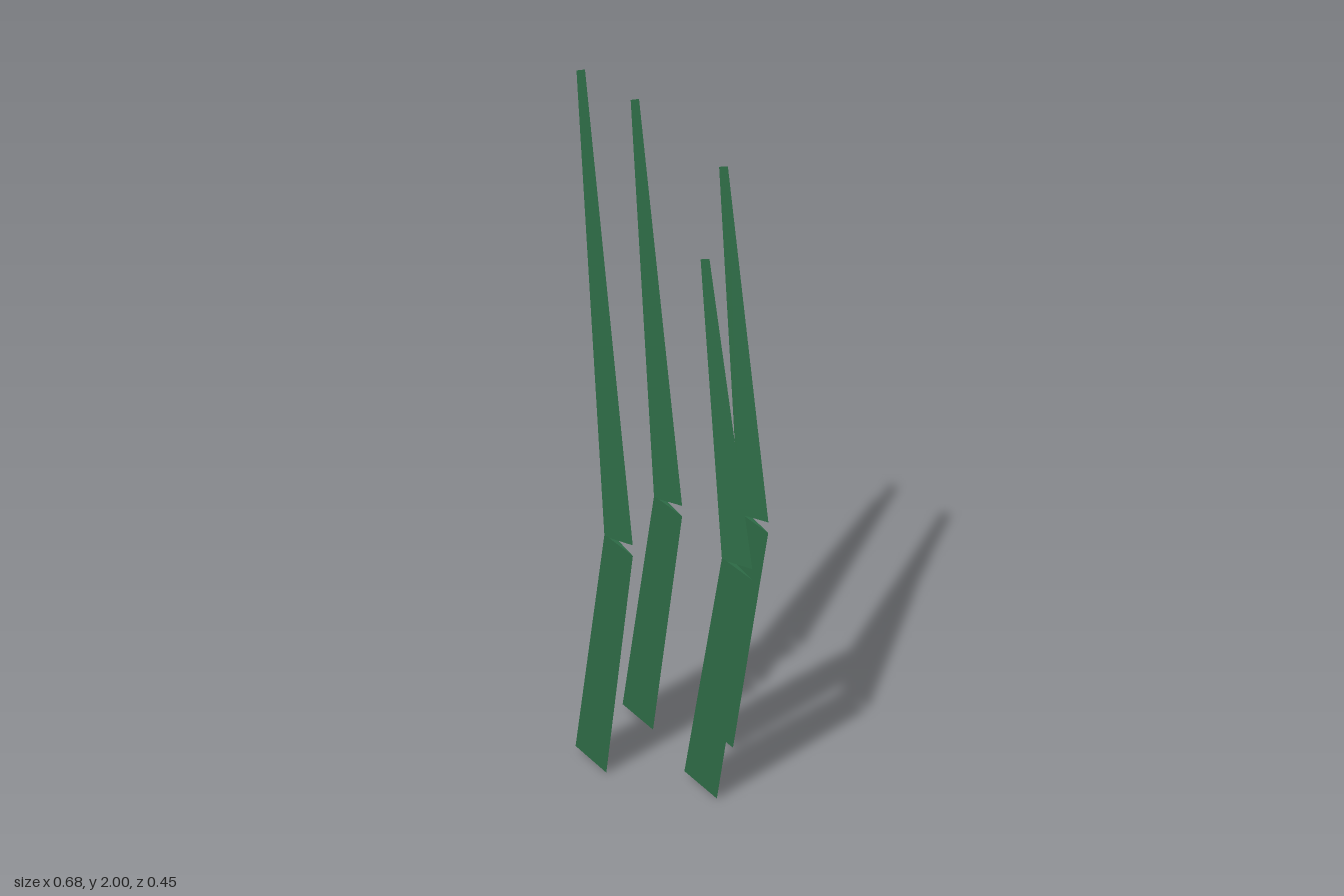
import * as THREE from 'three';

// Triangular cross-section: flat edge on the left, sharp edge on the right
function ring(leftX, leftY, rightX, rightY, z, half) {
  return [
    [leftX, leftY, z - half],
    [leftX, leftY, z + half],
    [rightX, rightY, z],
  ];
}

// Capped, flat-shaded prism between two triangular cross-sections
function prism(low, high) {
  const faces = [[high[0], high[1], high[2]], [low[0], low[2], low[1]]];
  for (let i = 0; i < 3; i++) {
    const j = (i + 1) % 3;
    faces.push([low[i], low[j], high[j]], [low[i], high[j], high[i]]);
  }
  const geometry = new THREE.BufferGeometry();
  geometry.setAttribute('position', new THREE.Float32BufferAttribute(faces.flat(2), 3));
  geometry.computeVertexNormals();
  return geometry;
}

export function createModel() {
  const model = new THREE.Group();
  model.name = 'grassTuft';
  const green = new THREE.MeshStandardMaterial({ color: 0x2d6a45 });
  green.name = 'grassGreen';

  // Each blade: x of its foot, z of its foot, height of its tip
  const blades = [
    [-0.214, 0.21, 2.0],
    [-0.3, -0.021, 1.85],
    [-0.088, -0.145, 1.7],
    [0.072, 0.043, 1.545],
  ];

  for (const [x, z, height] of blades) {
    const blade = new THREE.Group();
    blade.name = 'blade';
    blade.position.set(x, 0, z);

    // Lower stalk leans right, a little narrower at its top
    const stalk = new THREE.Mesh(prism(
      ring(0, 0.026, 0.13, 0.002, 0, 0.0115),
      ring(0.155, 0.785, 0.266, 0.767, 0, 0.0098),
    ), green);
    stalk.name = 'lowerStalk';

    // Upper leaf bends back to the left and tapers, leaving a notch at the joint
    const leaf = new THREE.Mesh(prism(
      ring(0.155, 0.779, 0.266, 0.799, 0, 0.0098),
      ring(-0.043, height - 0.011, -0.011, height, -0.077, 0.003),
    ), green);
    leaf.name = 'upperLeaf';

    blade.add(stalk, leaf);
    model.add(blade);
  }
  return model;
}
